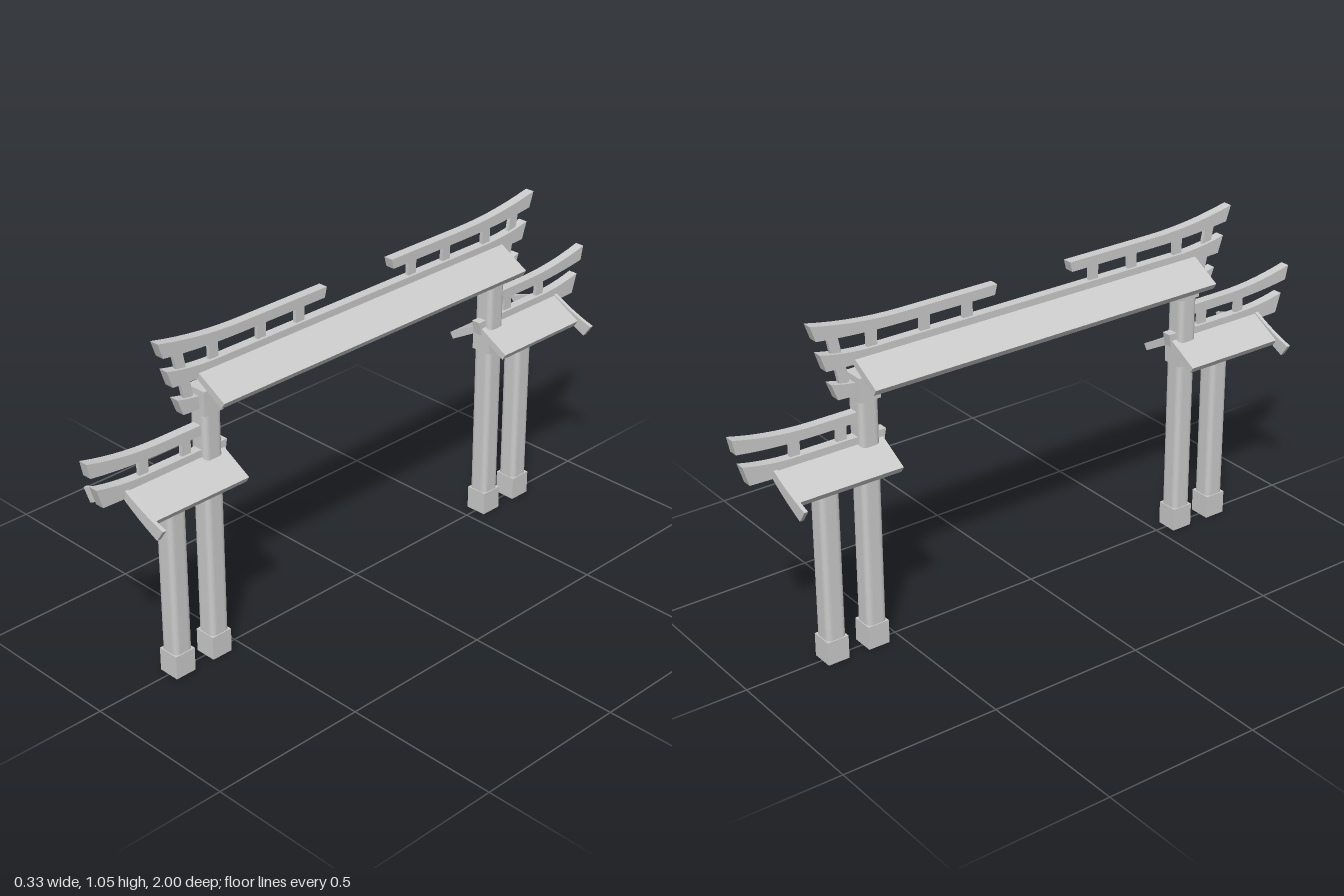
import * as THREE from 'three';

const material = new THREE.MeshStandardMaterial({ color: 0xcccccc });

function add(parent, name, geometry, x = 0, y = 0, z = 0) {
  const mesh = new THREE.Mesh(geometry, material);
  mesh.name = name;
  mesh.position.set(x, y, z);
  parent.add(mesh);
  return mesh;
}

function extrude(shape, depth) {
  const g = new THREE.ExtrudeGeometry(shape, { depth, bevelEnabled: false, curveSegments: 7 });
  return g.translate(0, 0, -depth / 2);
}

// Beam running along z with an upswept outer end; with mirrored it sweeps up at both ends.
// b, t: flat bottom and top; bend: where the sweep starts; tipB, tipT: [z, y] of the tip corners.
function beam(parent, name, { start, b, t, bend, tipB, tipT, mirrored = false }) {
  const s = new THREE.Shape();
  const mid = (bend + tipT[0]) / 2;
  s.moveTo(mirrored ? -bend : start + 0.008, b);
  s.lineTo(bend, b);
  s.quadraticCurveTo(mid, b, tipB[0], tipB[1]);
  s.lineTo(tipT[0], tipT[1]);
  s.quadraticCurveTo(mid, t, bend, t);
  if (mirrored) {
    s.lineTo(-bend, t);
    s.quadraticCurveTo(-mid, t, -tipT[0], tipT[1]);
    s.lineTo(-tipB[0], tipB[1]);
    s.quadraticCurveTo(-mid, b, -bend, b);
  } else {
    s.lineTo(start, t);
  }
  add(parent, name, extrude(s, 0.03).rotateY(-Math.PI / 2));
}

// Straight two-sided roof slab with its ridge at height y
function roof(parent, name, y, z, length) {
  const s = new THREE.Shape();
  s.moveTo(0, y);
  s.lineTo(-0.115, y - 0.064);
  s.lineTo(-0.103, y - 0.083);
  s.lineTo(0, y - 0.025);
  s.lineTo(0.103, y - 0.083);
  s.lineTo(0.115, y - 0.064);
  add(parent, name, extrude(s, length), 0, 0, z);
}

// Curved board closing the outer end of a lower roof
function gableBoard(parent, y, z) {
  const s = new THREE.Shape();
  s.moveTo(0, y);
  s.quadraticCurveTo(-0.08, y - 0.046, -0.167, y - 0.071);
  s.lineTo(-0.141, y - 0.109);
  s.quadraticCurveTo(-0.06, y - 0.073, 0, y - 0.031);
  s.quadraticCurveTo(0.06, y - 0.073, 0.141, y - 0.109);
  s.lineTo(0.167, y - 0.071);
  s.quadraticCurveTo(0.08, y - 0.046, 0, y);
  add(parent, 'gableBoard', extrude(s, 0.012), 0, 0, z);
}

// Column shaft: square with strongly rounded corners
function shaftGeometry(height) {
  const h = 0.032, c = 0.014;
  const s = new THREE.Shape();
  s.moveTo(-c, -h);
  s.lineTo(c, -h);
  s.quadraticCurveTo(h, -h, h, -c);
  s.lineTo(h, c);
  s.quadraticCurveTo(h, h, c, h);
  s.lineTo(-c, h);
  s.quadraticCurveTo(-h, h, -h, c);
  s.lineTo(-h, -c);
  s.quadraticCurveTo(-h, -h, -c, -h);
  return extrude(s, height).rotateX(-Math.PI / 2).translate(0, height / 2, 0);
}

function column(parent, name, z, height) {
  const g = new THREE.Group();
  g.name = name;
  g.position.z = z;
  add(g, 'shaft', shaftGeometry(height));
  add(g, 'base', new THREE.BoxGeometry(0.07, 0.075, 0.07), 0, 0.0375, 0);
  add(g, 'collar', new THREE.BoxGeometry(0.068, 0.07, 0.068), 0, 0.607, 0);
  parent.add(g);
  return g;
}

function strut(parent, y0, y1, z, lean = 0) {
  const m = add(parent, 'strut', new THREE.BoxGeometry(0.012, y1 - y0 + 0.012, 0.032), 0, (y0 + y1) / 2, z);
  m.rotation.x = lean;
}

// One end of the gate, built on the +z side
function createSide() {
  const side = new THREE.Group();

  const inner = column(side, 'innerColumn', 0.577, 0.86);
  add(inner, 'columnCap', new THREE.BoxGeometry(0.072, 0.075, 0.068), 0, 0.83, 0);
  column(side, 'outerColumn', 0.715, 0.64);

  // lower side roof
  roof(side, 'lowerRoof', 0.668, 0.7, 0.346);
  gableBoard(side, 0.672, 0.874);

  // side beams
  beam(side, 'lowerSideBeam', {
    start: 0.516, b: 0.639, t: 0.682, bend: 0.8, tipB: [0.955, 0.642], tipT: [0.974, 0.703],
  });
  beam(side, 'upperSideBeam', {
    start: 0.6, b: 0.727, t: 0.758, bend: 0.74, tipB: [0.99, 0.745], tipT: [1.0, 0.791],
  });
  for (const z of [0.655, 0.805]) strut(side, 0.682, 0.727, z);

  // half ridge beam and its supports
  beam(side, 'ridgeBeam', {
    start: 0.13, b: 0.985, t: 1.016, bend: 0.44, tipB: [0.728, 1.002], tipT: [0.745, 1.05],
  });
  for (const z of [0.225, 0.37, 0.545]) strut(side, 0.94, 0.985, z);

  // leaning struts near the beam tips
  strut(side, 0.855, 0.907, 0.645, 0.2);
  strut(side, 0.942, 0.99, 0.665, 0.2);
  return side;
}

export function createModel() {
  const model = new THREE.Group();
  model.name = 'gate';

  for (const [name, turn] of [['frontSide', 0], ['backSide', Math.PI]]) {
    const side = createSide();
    side.name = name;
    side.rotation.y = turn;
    model.add(side);
  }

  // main span
  roof(model, 'upperRoof', 0.925, 0, 1.216);
  beam(model, 'spanBeam', {
    b: 0.808, t: 0.845, bend: 0.55, tipB: [0.667, 0.812], tipT: [0.687, 0.863], mirrored: true,
  });
  beam(model, 'roofBeam', {
    b: 0.902, t: 0.938, bend: 0.54, tipB: [0.7, 0.906], tipT: [0.718, 0.959], mirrored: true,
  });
  return model;
}
